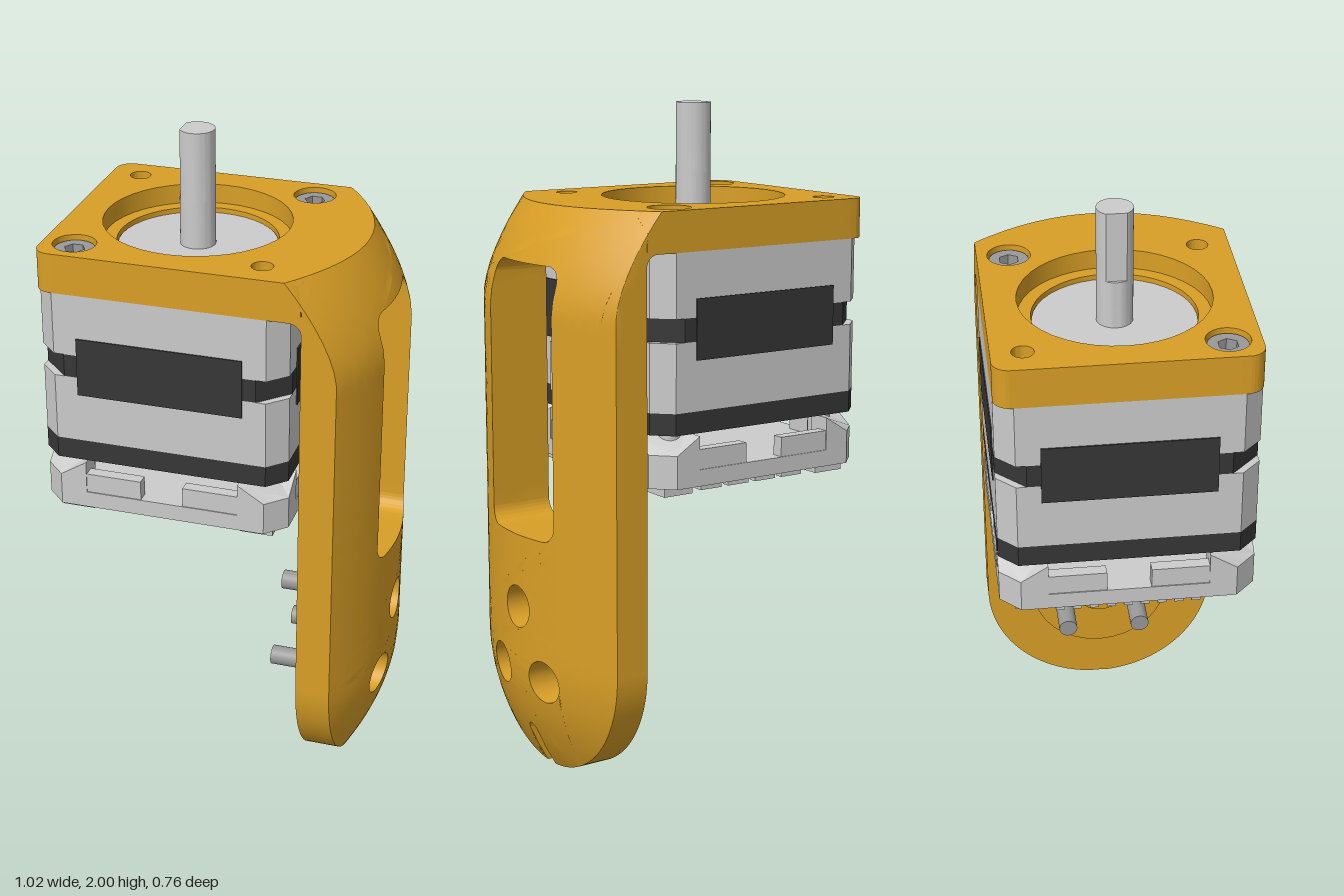
import * as THREE from 'three';
import { toCreasedNormals } from 'three/addons/utils/BufferGeometryUtils.js';

const mat = (color) => new THREE.MeshStandardMaterial({ color });
const GOLD = mat(0xd99f26), GREY = mat(0xcccccc), DARK = mat(0x363636), STEEL = mat(0x999999);
const AX = -0.135; // motor axis
const HALF = 0.375; // half width

// Domed outer surface of the bracket: x at a given height and depth
function outerX(y, z) {
  const r = y < HALF ? Math.hypot(z, y - HALF) : Math.abs(z);
  const q = Math.min(1, (r / HALF) ** 2);
  const t = Math.max(0, (y - 1.42) / 0.3);
  return 0.39 + 0.115 * (1 - q) - (0.12 + 0.035 * q) * t ** 1.6;
}

// Splits long edges, then moves each vertex by a rule
function bend(geometry, rule, max = 0.06) {
  const src = geometry.index ? geometry.toNonIndexed() : geometry;
  const p = src.attributes.position, out = [];
  const split = (a, b, c) => {
    const ab = a.distanceTo(b), bc = b.distanceTo(c), ca = c.distanceTo(a);
    const m = Math.max(ab, bc, ca);
    if (m <= max) { [a, b, c].forEach((v) => out.push(...rule(v))); return; }
    if (m === bc) return split2(b, c, a);
    if (m === ca) return split2(c, a, b);
    split2(a, b, c);
  };
  const split2 = (a, b, c) => {
    const mid = a.clone().add(b).multiplyScalar(0.5);
    split(a, mid, c);
    split(mid, b, c);
  };
  const v = (i) => new THREE.Vector3().fromBufferAttribute(p, i);
  for (let i = 0; i < p.count; i += 3) split(v(i), v(i + 1), v(i + 2));
  const g = new THREE.BufferGeometry();
  g.setAttribute('position', new THREE.Float32BufferAttribute(out, 3));
  return toCreasedNormals(g, 0.5);
}

function circle(x, y, r, Type = THREE.Path) {
  const c = new Type();
  c.absarc(x, y, r, 0, Math.PI * 2, false);
  return c;
}

function polygon(points) {
  return new THREE.Shape(points.map(([x, y]) => new THREE.Vector2(x, y)));
}

// Extrudes a plan shape (x, -z) upward from y0 to y1
function slab(shape, y0, y1, curveSegments = 20) {
  return new THREE.ExtrudeGeometry(shape, { depth: y1 - y0, bevelEnabled: false, curveSegments })
    .rotateX(-Math.PI / 2).translate(0, y0, 0);
}

// Square plan with cut corners, around the motor axis
function octagon(h, cut) {
  const k = h - cut;
  return polygon([[h, -k], [h, k], [k, h], [-k, h], [-h, k], [-h, -k], [-k, -h], [k, -h]]
    .map(([x, y]) => [x + AX, y]));
}

export function createModel() {
  const model = new THREE.Group();
  model.name = 'motorOnBracket';
  const body = new THREE.Group();
  body.position.z = -0.005;
  model.add(body);
  const add = (name, geometry, material, parent = body) => {
    const m = new THREE.Mesh(geometry, material);
    m.name = name;
    parent.add(m);
    return m;
  };
  const box = (name, x0, x1, y0, y1, z0, z1, material, parent) =>
    add(name, new THREE.BoxGeometry(x1 - x0, y1 - y0, z1 - z0)
      .translate((x0 + x1) / 2, (y0 + y1) / 2, (z0 + z1) / 2), material, parent);

  // Bracket arm: rounded foot, groove, window and three screw holes
  const arm = new THREE.Shape();
  arm.absarc(0, HALF, HALF, -Math.PI / 2 + 0.059, 0, false);
  arm.lineTo(HALF, 1.72);
  arm.lineTo(-HALF, 1.72);
  arm.absarc(0, HALF, HALF, Math.PI, Math.PI * 1.5 - 0.059, false);
  arm.absarc(0, 0.12, 0.022, Math.PI, 0, true);
  const win = new THREE.Path();
  const w = 0.175, r = 0.05;
  win.absarc(w - r, 0.745 + r, r, -Math.PI / 2, 0, false);
  win.absarc(w - r, 1.555 - r, r, 0, Math.PI / 2, false);
  win.absarc(r - w, 1.555 - r, r, Math.PI / 2, Math.PI, false);
  win.absarc(r - w, 0.745 + r, r, Math.PI, Math.PI * 1.5, false);
  const armScrews = [[0, 0.52], [0.12, 0.31], [-0.12, 0.31]];
  arm.holes.push(win, ...armScrews.map(([z, y]) => circle(z, y, 0.065)));
  const armBlank = new THREE.ExtrudeGeometry(arm, { depth: 0.1, bevelEnabled: false, curveSegments: 16 })
    .rotateY(Math.PI / 2);
  add('bracketArm', bend(armBlank, ({ x, y, z }) => {
    const outer = outerX(y, z), inner = Math.min(0.285, outer);
    return [inner + (outer - inner) * x / 0.1, y, z];
  }), GOLD);
  box('grooveFloor', 0.285, 0.36, 0.002, 0.143, -0.023, 0.023, GOLD);

  // Bracket top plate: two layers form the stepped centre hole
  const bigHoles = [[0.145, 0.28], [-0.415, -0.28]], smallHoles = [[-0.415, 0.285], [0.145, -0.28]];
  [[1.6, 1.66, 0.24], [1.66, 1.72, 0.28]].forEach(([y0, y1, bore]) => {
    const plate = new THREE.Shape();
    plate.moveTo(0.285, -HALF);
    plate.lineTo(0.285, HALF);
    plate.absarc(-0.46, HALF - 0.05, 0.05, Math.PI / 2, Math.PI, false);
    plate.absarc(-0.46, 0.05 - HALF, 0.05, Math.PI, Math.PI * 1.5, false);
    plate.holes.push(circle(AX, 0, bore), ...bigHoles.map(([x, y]) => circle(x, y, 0.064)),
      ...smallHoles.map(([x, y]) => circle(x, y, 0.032)));
    add('bracketPlate', bend(slab(plate, y0, y1), ({ x, y, z }) =>
      [Math.min(x, outerX(y, z)), y, z]), GOLD);
  });

  // Inside fillet between plate and arm
  const fillet = new THREE.Shape();
  fillet.moveTo(0.285, 1.6);
  fillet.lineTo(0.25, 1.6);
  fillet.absarc(0.25, 1.565, 0.035, Math.PI / 2, 0, true);
  add('insideFillet', new THREE.ExtrudeGeometry(fillet, { depth: HALF * 2, bevelEnabled: false })
    .translate(0, 0, -HALF), GOLD);

  // Boss and hub ring on the inner face of the arm
  const disc = (name, radius, x0, x1, y, z, material) =>
    add(name, new THREE.CylinderGeometry(radius, radius, x1 - x0, 32).rotateZ(Math.PI / 2)
      .translate((x0 + x1) / 2, y, z), material);
  disc('armBoss', 0.225, 0.265, 0.292, 0.38, 0, GOLD);
  const ring = circle(0, 0, 0.088, THREE.Shape);
  ring.holes.push(circle(0, 0, 0.065));
  add('hubRing', new THREE.ExtrudeGeometry(ring, { depth: 0.035, bevelEnabled: false, curveSegments: 16 })
    .rotateY(Math.PI / 2).translate(0.235, 0.395, 0), GOLD);

  // Socket screw heads, built along +y with the top at y = 0
  const screwHead = (radius, depth) => {
    const g = new THREE.Group();
    g.name = 'screw';
    const head = circle(0, 0, radius, THREE.Shape);
    const hex = new THREE.Path();
    hex.setFromPoints([...Array(6).keys()].map((i) => new THREE.Vector2(
      radius * 0.52 * Math.cos(i * Math.PI / 3), radius * 0.52 * Math.sin(i * Math.PI / 3))));
    head.holes.push(hex);
    add('screwHead', slab(head, -depth, 0, 12), STEEL, g);
    add('socketFloor', new THREE.CylinderGeometry(radius * 0.9, radius * 0.9, depth / 2, 20)
      .translate(0, -depth * 0.75, 0), STEEL, g);
    body.add(g);
    return g;
  };
  armScrews.forEach(([z, y]) => {
    const s = screwHead(0.061, 0.08);
    s.rotation.z = -Math.PI / 2;
    s.position.set(0.37, y, z);
    disc('screwShank', 0.03, 0.14, 0.3, y, z, STEEL);
  });
  bigHoles.forEach(([x, y]) => screwHead(0.059, 0.1).position.set(x, 1.705, -y));

  // Motor body: stacked cut-corner sections
  const motor = new THREE.Group();
  motor.name = 'motor';
  body.add(motor);
  [['motorTop', 1.41, 1.6, 0.055, GREY], ['motorBand', 1.34, 1.41, 0.085, DARK],
    ['motorMiddle', 1.135, 1.34, 0.055, GREY], ['motorBase', 1.07, 1.135, 0.055, DARK]]
    .forEach(([name, y0, y1, cut, m]) => add(name, slab(octagon(0.375, cut), y0, y1), m, motor));
  for (let i = 0; i < 4; i++) {
    const panel = add('sidePanel', new THREE.BoxGeometry(0.5, 0.18, 0.02).translate(0, 1.375, 0.369), DARK, motor);
    panel.position.x = AX;
    panel.rotation.y = i * Math.PI / 2;
  }
  box('connector', 0.23, 0.29, 1.135, 1.285, -0.15, 0.15, GREY, motor);
  add('pilotDisc', new THREE.CylinderGeometry(0.238, 0.238, 0.05, 40).translate(AX, 1.62, 0), GREY, motor);

  // Shaft with a flat on its upper length
  const flat = new THREE.Shape();
  flat.absarc(AX, 0, 0.053, -Math.PI + 0.6, Math.PI - 0.6, false);
  add('shaft', toCreasedNormals(slab(circle(AX, 0, 0.053, THREE.Shape), 1.6, 1.79), 0.5), GREY, motor);
  add('shaftFlat', toCreasedNormals(slab(flat, 1.79, 2), 0.5), GREY, motor);

  // Lower cover: floor, corner blocks, notched walls and fins
  const cover = new THREE.Group();
  cover.name = 'lowerCover';
  body.add(cover);
  add('coverFloor', slab(octagon(0.375, 0.06), 0.91, 0.96), GREY, cover);
  const corner = polygon([[0.375, 0.235], [0.375, 0.315], [0.315, 0.375], [0.235, 0.375], [0.235, 0.3], [0.3, 0.235]]);
  for (let i = 0; i < 4; i++) {
    const side = new THREE.Group();
    side.name = 'coverSide';
    side.position.x = AX;
    side.rotation.y = i * Math.PI / 2;
    cover.add(side);
    add('cornerBlock', bend(slab(corner, 0.96, 1.06), ({ x, y, z }) =>
      [x, y > 1.05 ? y - 0.05 * Math.max(0, x - z - 0.62) / 0.07 : y, z], 0.2), GREY, side);
    add('cornerPost', new THREE.CylinderGeometry(0.035, 0.035, 0.12, 16).translate(0.28, 1.015, -0.28), GREY, side);
    for (const s of [-1, 1]) {
      box('coverWall', s * 0.155 - 0.09, s * 0.155 + 0.09, 0.95, 1.02, 0.335, 0.372, GREY, side);
    }
    box('cornerFoot', 0.23, 0.33, 0.88, 0.92, 0.23, 0.33, GREY, side);
  }
  for (let i = -6; i <= 6; i++) {
    const inset = Math.abs(i) > 4 ? 0.2 : 0.36;
    for (let x = -inset; x < inset - 0.01; x += inset / 2) {
      box('fin', AX + x + 0.012, AX + x + inset / 2 - 0.012, 0.88, 0.912,
        i * 0.05 - 0.013, i * 0.05 + 0.013, GREY, cover);
    }
  }
  return model;
}
